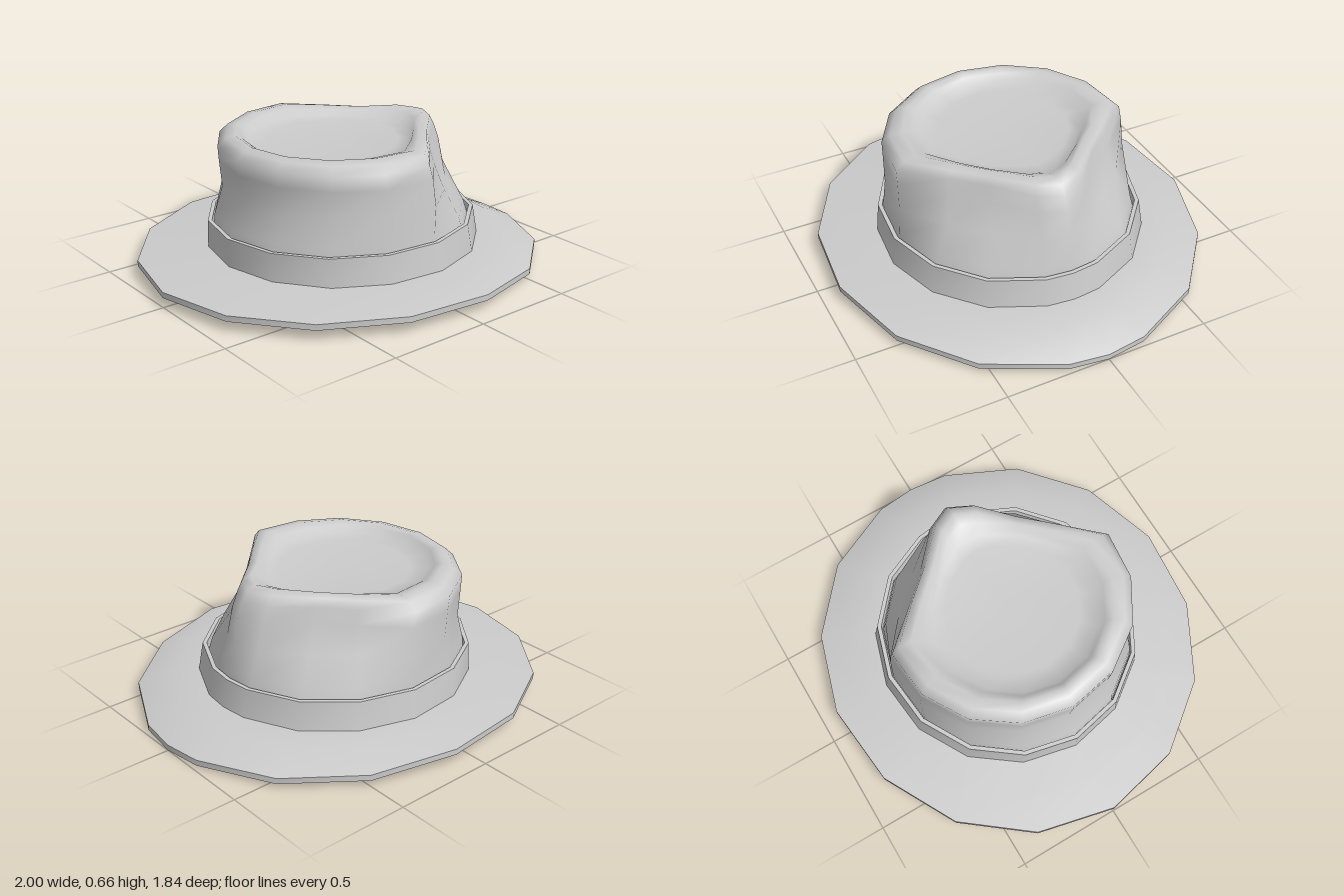
import * as THREE from 'three';
import { toCreasedNormals } from 'three/addons/utils/BufferGeometryUtils.js';

// Sixteen directions round the hat: 24 degree steps plus one at the front tip (+x)
const HALF = [12, 36, 60, 84, 108, 132, 156];
const ANGLES = [0, ...HALF, 180, ...HALF.map((a) => 360 - a).reverse()];
const N = ANGLES.length;
const mirrored = (i) => Math.min(i, N - i);

// One oval cross-section from its x limits, z half-width and height (number or rule)
function ring(left, right, halfZ, y, squeeze = () => 1) {
  return ANGLES.map((deg, i) => {
    const a = THREE.MathUtils.degToRad(deg);
    const k = squeeze(mirrored(i));
    const h = typeof y === 'function' ? y(mirrored(i)) : y;
    return [(left + right) / 2 + ((right - left) / 2) * Math.cos(a) * k, h, halfZ * Math.sin(a) * k];
  });
}

// Skin through the rings; a centre point optionally closes the last one
function loft(rings, crease, centre) {
  const pos = rings.flat(2);
  const index = [];
  for (let r = 0; r < rings.length - 1; r++) {
    for (let i = 0; i < N; i++) {
      const a = r * N + i, b = r * N + ((i + 1) % N);
      index.push(a, a + N, b, b, a + N, b + N);
    }
  }
  if (centre) {
    const base = (rings.length - 1) * N;
    pos.push(...centre);
    for (let i = 0; i < N; i++) index.push(base + i, rings.length * N, base + ((i + 1) % N));
  }
  const geo = new THREE.BufferGeometry();
  geo.setAttribute('position', new THREE.Float32BufferAttribute(pos, 3));
  geo.setIndex(index);
  return toCreasedNormals(geo, crease);
}

// Crown cross-sections, pinched on both sides of the front tip
const PINCH = [0, 0.07, 0.22, 0.19, 0, 0, 0, 0, 0];
const pinched = ([left, right, halfZ, y, strength, tip = 0]) =>
  ring(left, right, halfZ, (i) => y + (i < 2 ? tip : 0), (i) => 1 - strength * PINCH[i]);

export function createModel() {
  const hat = new THREE.Group();
  hat.name = 'hat';
  const material = new THREE.MeshStandardMaterial({ color: 0xcccccc, side: THREE.DoubleSide });
  const add = (name, geo) => {
    const mesh = new THREE.Mesh(geo, material);
    mesh.name = name;
    hat.add(mesh);
  };

  // Brim: underside, thin rim dipping towards the front, top surface
  const rim = [0, 0.006, 0.016, 0.029, 0.052, 0.055, 0.053, 0.05, 0.047];
  add('brim', loft([
    ring(-0.567, 0.587, 0.558, 0.075),
    ring(-0.83, 0.83, 0.77, (i) => (i > 5 ? 0.06 : 0.068)),
    ring(-1, 1, 0.925, (i) => rim[i]),
    ring(-1, 1, 0.925, (i) => rim[i] + 0.028),
    ring(-0.83, 0.84, 0.78, (i) => (i > 5 ? 0.092 : 0.099)),
    ring(-0.64, 0.67, 0.63, 0.105),
  ], 0.6));

  // Hat band with a narrow lip
  add('hatBand', loft([
    ring(-0.65, 0.69, 0.648, 0.1),
    ring(-0.65, 0.665, 0.63, 0.24),
    ring(-0.63, 0.645, 0.61, 0.24),
    ring(-0.625, 0.64, 0.605, 0.2),
  ], 0.6));

  // Crown: left, right, half depth, height, pinch strength, rise of the tip
  add('crown', loft([
    [-0.623, 0.638, 0.604, 0.2, 0],
    [-0.615, 0.635, 0.603, 0.27, 0.15],
    [-0.565, 0.61, 0.597, 0.4, 0.75],
    [-0.58, 0.592, 0.592, 0.53, 1.1],
    [-0.585, 0.56, 0.588, 0.6, 1.1],
    [-0.545, 0.53, 0.55, 0.638, 1, 0.008],
    [-0.505, 0.485, 0.49, 0.649, 1, 0.013],
    [-0.475, 0.43, 0.44, 0.635, 0.8, 0.008],
    [-0.455, 0.365, 0.395, 0.608, 0.4],
    [-0.36, 0.29, 0.32, 0.6, 0.2],
  ].map(pinched), 1.2, [-0.03, 0.598, 0]));

  // Inner band widening up to a ledge under the lining
  add('innerBand', loft([
    ring(-0.575, 0.59, 0.56, 0.205),
    ring(-0.605, 0.62, 0.59, 0.205),
    ring(-0.567, 0.587, 0.558, 0.075),
  ], 0.6));

  // Lining just inside the crown
  add('lining', loft([
    [-0.575, 0.59, 0.56, 0.205, 0],
    [-0.57, 0.59, 0.56, 0.27, 0.15],
    [-0.525, 0.57, 0.555, 0.4, 0.75],
    [-0.54, 0.55, 0.55, 0.53, 1.1],
    [-0.52, 0.5, 0.52, 0.588, 1.1],
  ].map(pinched), 1, [-0.03, 0.585, 0]));

  return hat;
}
